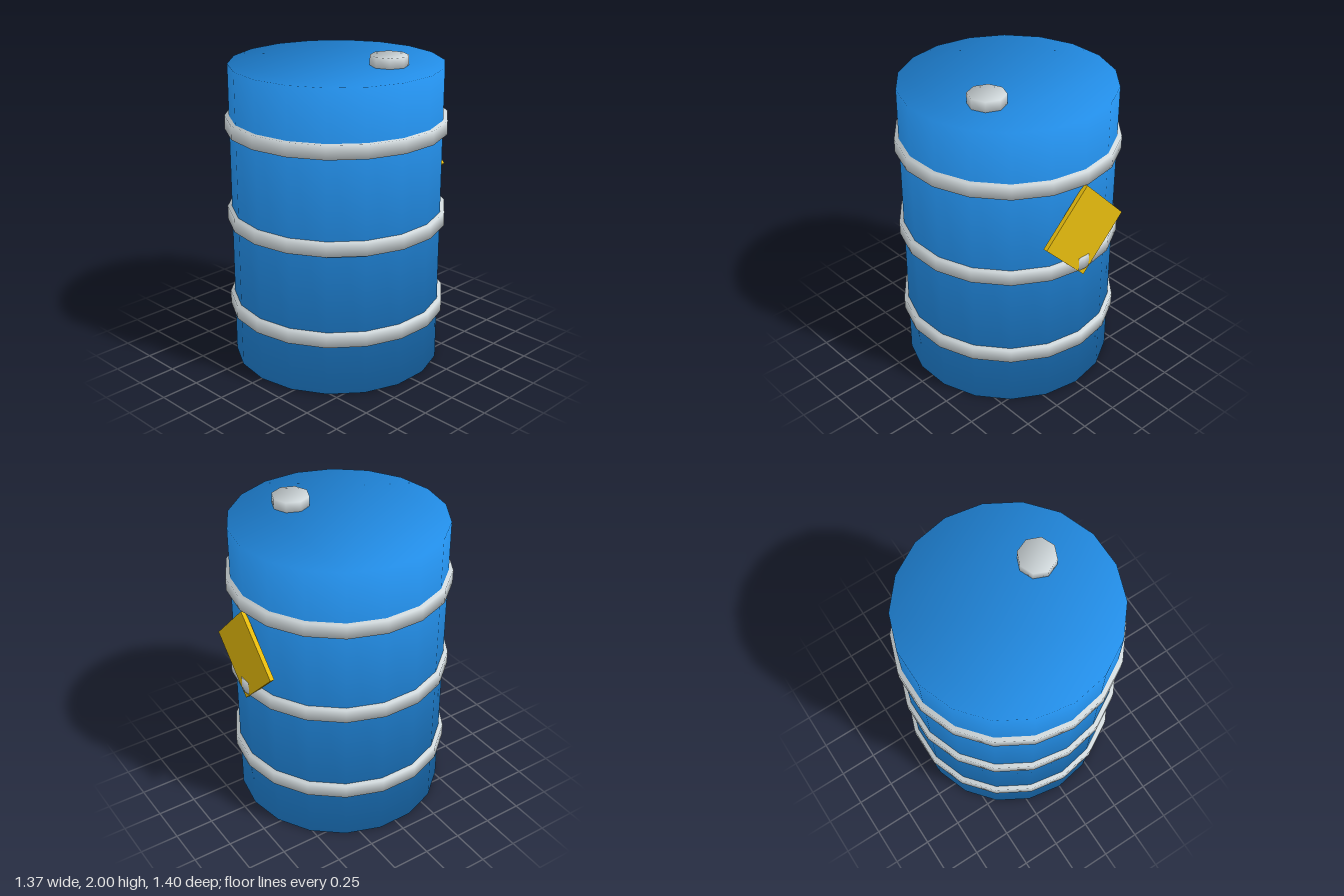
import * as THREE from 'three';

const blue = new THREE.MeshStandardMaterial({ color: 0x2493f0 });
blue.name = 'barrel blue';
const grey = new THREE.MeshStandardMaterial({ color: 0xd0d8db });
grey.name = 'metal grey';
const yellow = new THREE.MeshStandardMaterial({ color: 0xf1c40f });
yellow.name = 'label yellow';

// Upright prism from y0 to y1 whose normals blend smoothly over the rims
function softDrum(name, material, radius, sides, y0, y1) {
  const corners = [];
  for (let i = 0; i < sides; i++) {
    const a = (i / sides) * Math.PI * 2;
    corners.push(new THREE.Vector2(Math.sin(a) * radius, Math.cos(a) * radius));
  }
  const geometry = new THREE.ExtrudeGeometry(new THREE.Shape(corners), {
    depth: y1 - y0,
    bevelEnabled: false,
  });
  geometry.rotateX(-Math.PI / 2).translate(0, y0, 0);

  const position = geometry.attributes.position;
  const normal = geometry.attributes.normal;
  const middle = (y0 + y1) / 2;
  const n = new THREE.Vector3();
  for (let i = 0; i < position.count; i++) {
    n.set(position.getX(i) / radius, Math.sign(position.getY(i) - middle), position.getZ(i) / radius);
    n.normalize();
    normal.setXYZ(i, n.x, n.y, n.z);
  }
  const mesh = new THREE.Mesh(geometry, material);
  mesh.name = name;
  return mesh;
}

export function createModel() {
  const model = new THREE.Group();
  model.name = 'barrel';

  // Drum body
  model.add(softDrum('body', blue, 0.67, 18, 0, 1.935));

  // Three hoops around the body
  [0.378, 0.971, 1.567].forEach((y, i) => {
    model.add(softDrum('hoop' + (i + 1), grey, 0.698, 18, y - 0.044, y + 0.044));
  });

  // Filler cap on the lid
  const cap = softDrum('fillerCap', grey, 0.118, 8, 1.92, 2);
  cap.position.set(0.295, 0, -0.153);
  model.add(cap);

  // Diamond warning plate on the back
  const label = new THREE.Mesh(new THREE.BoxGeometry(0.446, 0.446, 0.027), yellow);
  label.name = 'warningPlate';
  label.position.set(0, 1.195, -0.677);
  label.rotation.z = Math.PI / 4;
  model.add(label);

  return model;
}
